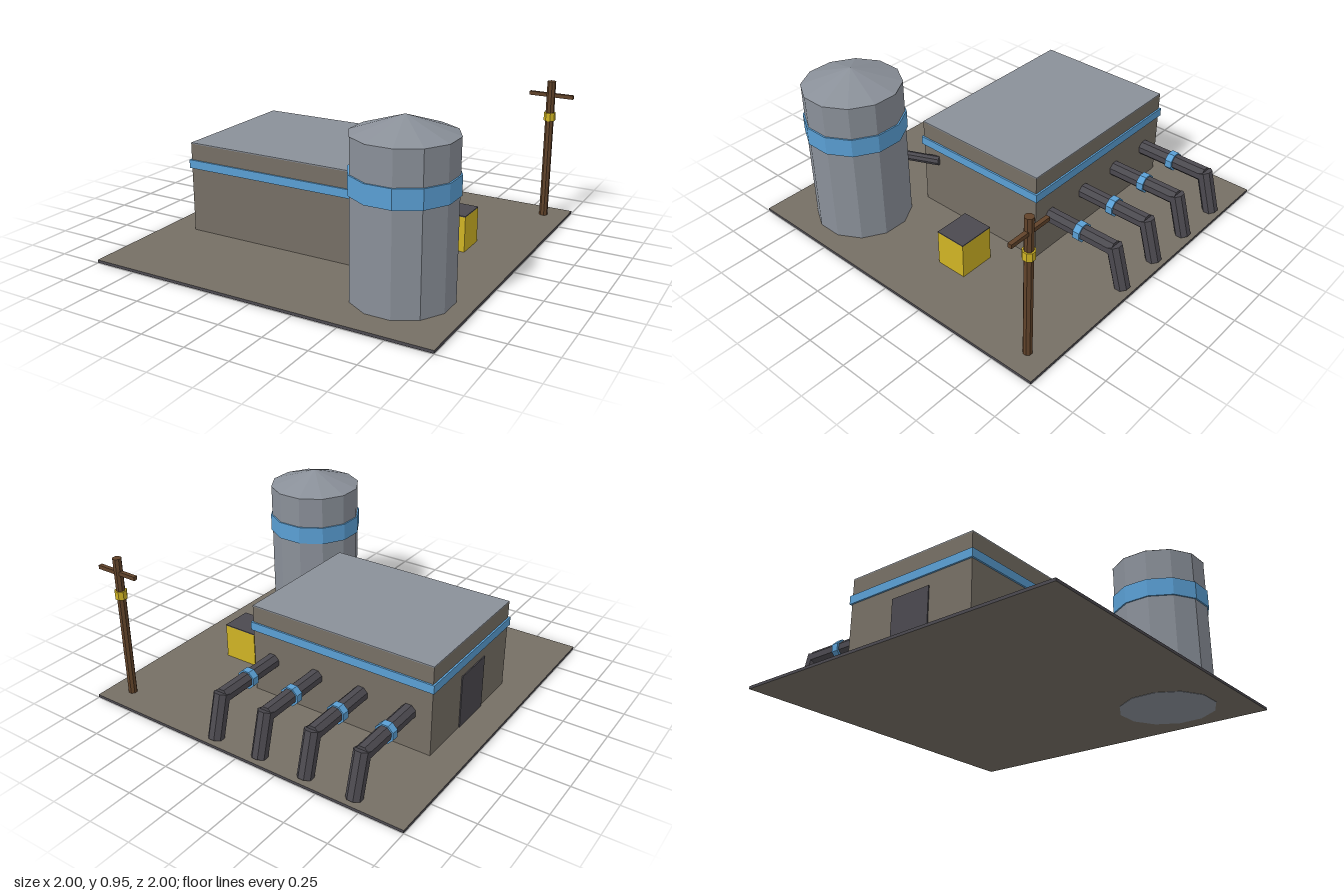
import * as THREE from 'three';

const mat = (name, color, flatShading = true) => {
  const m = new THREE.MeshStandardMaterial({ color, flatShading });
  m.name = name;
  return m;
};

export function createModel() {
  const concrete = mat('concrete', 0x766f65);
  const steel = mat('steel', 0x8a9099);
  const dark = mat('darkMetal', 0x4b494f);
  const blue = mat('bluePaint', 0x5a9fd4);
  const yellow = mat('yellowPaint', 0xd0b424);
  const wood = mat('wood', 0x61432a);

  const root = new THREE.Group();
  root.name = 'pumpStation';

  const add = (name, geometry, material, x, y, z, parent = root) => {
    const mesh = new THREE.Mesh(geometry, material);
    mesh.name = name;
    mesh.position.set(x, y, z);
    parent.add(mesh);
    return mesh;
  };

  // Box given by its min and max corners
  const box = (name, material, a, b, parent = root) => add(
    name, new THREE.BoxGeometry(b[0] - a[0], b[1] - a[1], b[2] - a[2]), material,
    (a[0] + b[0]) / 2, (a[1] + b[1]) / 2, (a[2] + b[2]) / 2, parent);

  // Upright prism with a flat side facing front
  const prism = (name, material, sides, rTop, rBottom, y0, y1, x, z, parent = root) => {
    const g = new THREE.CylinderGeometry(rTop, rBottom, y1 - y0, sides);
    g.rotateY(Math.PI / sides);
    return add(name, g, material, x, (y0 + y1) / 2, z, parent);
  };

  // Eight-sided pipe between two points
  const pipe = (name, material, radius, from, to, parent = root) => {
    const a = new THREE.Vector3(...from), b = new THREE.Vector3(...to);
    const d = b.clone().sub(a);
    const g = new THREE.CylinderGeometry(radius, radius, d.length(), 8);
    g.rotateY(Math.PI / 8);
    const mid = a.add(b).multiplyScalar(0.5);
    const mesh = add(name, g, material, mid.x, mid.y, mid.z, parent);
    mesh.quaternion.setFromUnitVectors(new THREE.Vector3(0, 1, 0), d.normalize());
    return mesh;
  };

  // Ground slab with dark edges
  box('groundSlab', [dark, dark, concrete, concrete, dark, dark], [-1, 0.002, -1], [1, 0.018, 1]);

  // Main building
  const building = new THREE.Group();
  building.name = 'building';
  root.add(building);
  box('walls', concrete, [-0.82, 0.018, -0.445], [0.31, 0.542, 0.385], building);
  box('roof', steel, [-0.82, 0.542, -0.445], [0.31, 0.548, 0.385], building);
  box('wallBand', blue, [-0.83, 0.398, -0.455], [0.32, 0.447, 0.395], building);
  box('door', dark, [-0.826, 0.018, -0.14], [-0.818, 0.335, 0.11], building);

  // Storage tank
  const tank = new THREE.Group();
  tank.name = 'tank';
  root.add(tank);
  prism('tankBody', steel, 12, 0.272, 0.272, 0, 0.862, 0.63, 0.58, tank);
  prism('tankBand', blue, 12, 0.281, 0.281, 0.572, 0.677, 0.63, 0.58, tank);
  prism('tankRoof', steel, 12, 0, 0.274, 0.862, 0.955, 0.63, 0.58, tank);

  // Link between the building and the tank
  pipe('linkPipe', dark, 0.027, [0.315, 0.335, 0.265], [0.44, 0.335, 0.54]);

  // Four outlet pipes at the back, each with a collar and a slanted end
  for (let i = 0; i < 4; i++) {
    const x = -0.685 + i * 0.29;
    const outlet = new THREE.Group();
    outlet.name = 'outlet' + (i + 1);
    root.add(outlet);
    pipe('outletPipe', dark, 0.045, [x, 0.24, -0.43], [x, 0.24, -0.875], outlet);
    pipe('outletCollar', blue, 0.056, [x, 0.238, -0.635], [x, 0.238, -0.677], outlet);
    pipe('outletEnd', dark, 0.045, [x, 0.262, -0.867], [x, 0.015, -0.936], outlet);
  }

  // Generator box
  box('generator', yellow, [0.47, 0.018, -0.262], [0.68, 0.222, -0.08]);
  box('generatorLid', dark, [0.47, 0.222, -0.262], [0.68, 0.228, -0.08]);

  // Utility pole
  const pole = new THREE.Group();
  pole.name = 'utilityPole';
  root.add(pole);
  prism('polePost', wood, 8, 0.025, 0.025, 0.018, 0.848, 0.866, -0.866, pole);
  prism('poleCollar', yellow, 8, 0.034, 0.034, 0.612, 0.66, 0.866, -0.866, pole);
  box('crossArm', wood, [0.738, 0.754, -0.88], [1, 0.776, -0.857], pole);

  return root;
}
